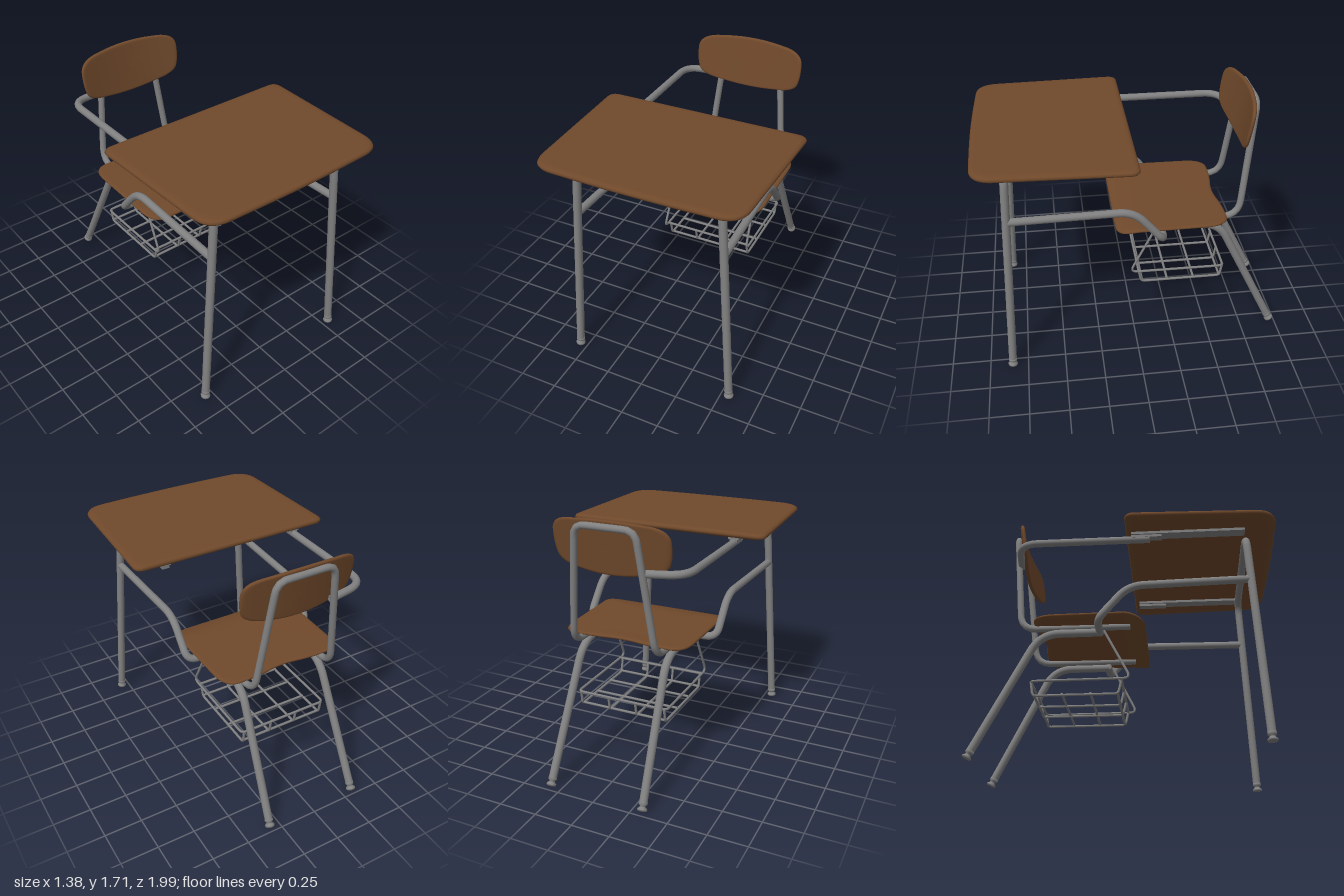
import * as THREE from 'three';
import { mergeGeometries } from 'three/addons/utils/BufferGeometryUtils.js';

const V = (p) => new THREE.Vector3(p[0], p[1], p[2] || 0);

// Polyline with rounded corners; radius comes from the 4th value of a point or the default
function roundedPath(pts, radius = 0, closed = false) {
  const path = new THREE.CurvePath();
  const n = pts.length;
  const corners = pts.map((p, i) => {
    const c = V(p);
    if (!closed && (i === 0 || i === n - 1)) return { a: c, b: c };
    const prev = V(pts[(i + n - 1) % n]), next = V(pts[(i + 1) % n]);
    const r = p[3] ?? radius;
    const cut = (q) => c.clone().lerp(q, Math.min(r / c.distanceTo(q), 0.49));
    return { a: cut(prev), b: cut(next), c };
  });
  for (let i = 0; i < n; i++) {
    const k = corners[i];
    if (k.c) path.add(new THREE.QuadraticBezierCurve3(k.a, k.c, k.b));
    if (i < n - 1 || closed) path.add(new THREE.LineCurve3(k.b, corners[(i + 1) % n].a));
  }
  return path;
}

// Bent tube with closed ends
function tubeGeometry(pts, r, bend, segments, sides) {
  const path = roundedPath(pts, bend);
  const parts = [new THREE.TubeGeometry(path, segments, r, sides, false)];
  for (const [t, dir] of [[0, -1], [1, 1]]) {
    const out = path.getTangentAt(t).multiplyScalar(dir);
    const q = new THREE.Quaternion().setFromUnitVectors(new THREE.Vector3(0, 0, 1), out);
    const end = path.getPointAt(t);
    parts.push(new THREE.CircleGeometry(r, sides).applyQuaternion(q).translate(end.x, end.y, end.z));
  }
  return mergeGeometries(parts);
}

// Thin board with rounded rim from an anticlockwise outline (x, -z), shaped by a rule
function boardGeometry(outline, thickness, shape) {
  const n = 200;
  const pts = roundedPath(outline, 0.1, true).getSpacedPoints(n).slice(0, n);
  const half = [[0, 1], [0.2, 1], [0.4, 1], [0.6, 1], [0.8, 1], [0.92, 1], [0.965, 0.95], [0.99, 0.6]];
  const rings = [...half, [1, 0], ...half.map(([s, h]) => [s, -h]).reverse()];
  const pos = [], index = [];
  rings.forEach(([s, h], i) => {
    pts.forEach((p, j) => {
      pos.push(...shape(p.x * s, h * thickness / 2, -p.y * s));
      if (i === rings.length - 1) return;
      const a = i * n + j, b = i * n + (j + 1) % n;
      index.push(a, a + n, b + n, a, b + n, b);
    });
  });
  const g = new THREE.BufferGeometry();
  g.setAttribute('position', new THREE.Float32BufferAttribute(pos, 3));
  g.setIndex(index);
  g.computeVertexNormals();
  return g;
}

export function createModel() {
  const wood = new THREE.MeshStandardMaterial({ color: 0x70492b });
  wood.name = 'brown wood';
  const metal = new THREE.MeshStandardMaterial({ color: 0x808080 });
  metal.name = 'grey metal';

  const model = new THREE.Group();
  model.name = 'schoolDesk';
  const add = (name, geometry, material, parent = model) => {
    const mesh = new THREE.Mesh(geometry, material);
    mesh.name = name;
    parent.add(mesh);
    return mesh;
  };
  const tube = (name, pts, r = 0.026, bend = 0.1) =>
    add(name, tubeGeometry(pts, r, bend, 90, 14), metal);
  // Continue a half path across the centre plane
  const mirrored = (pts) => [...pts, ...pts.map(([x, ...rest]) => [-x, ...rest]).reverse()];

  // Desk top, narrower and more rounded at the front
  add('deskTop', boardGeometry([
    [0.69, 0.49, 0, 0.06], [-0.69, 0.49, 0, 0.06], [-0.655, -0.478, 0, 0.14],
    [0, -0.498, 0, 0.4], [0.655, -0.478, 0, 0.14],
  ], 0.04, (x, h, z) => [x, 1.48 + h, z + 0.505]), wood);

  // Seat, slightly dished with a front lip rolled down
  add('seat', boardGeometry([
    [0.425, 0.367, 0, 0.15], [0.2, 0.367, 0, 0.1], [0, 0.33, 0, 0.1], [-0.2, 0.367, 0, 0.1],
    [-0.425, 0.367, 0, 0.15], [-0.435, -0.36, 0, 0.14], [0.435, -0.36, 0, 0.14],
  ], 0.022, (x, h, z) => {
    const lip = Math.max(0, (z - 0.22) / 0.14);
    const dish = 0.008 * (1 - (x / 0.435) ** 2) * (1 - (z / 0.37) ** 2);
    return [x, 0.911 + h - dish - 0.037 * lip ** 1.6, z - 0.23];
  }), wood);

  // Backrest, leaning back and wrapped forward at the sides
  add('backrest', boardGeometry([
    [0.38, 0.145, 0, 0.13], [0, 0.178, 0, 0.2], [-0.38, 0.145, 0, 0.13], [-0.388, -0.02, 0, 0.08],
    [-0.35, -0.13, 0, 0.13], [0, -0.18, 0, 0.2], [0.35, -0.13, 0, 0.13], [0.388, -0.02, 0, 0.08],
  ], 0.026, (x, h, z) => {
    const y = 1.53 - z;
    return [x, y, -0.7 - 0.16 * (y - 1.36) + 0.045 * (x / 0.385) ** 2 + h];
  }), wood);

  // Frame running across both sides
  const frontFoot = [0.55, 0.045, 0.85], frontTop = [0.465, 1.42, 0.795];
  tube('frontLegs', mirrored([frontFoot, frontTop]));
  tube('backrestFrame', mirrored([
    [0.28, 0.885, 0.03], [0.28, 0.885, -0.685, 0.11], [0.195, 1.66, -0.768, 0.07],
  ]), 0.022);
  tube('armRail', [[-0.475, 1.42, 0.17], [-0.475, 1.42, -0.69, 0.12], [-0.21, 1.405, -0.725]], 0.024);

  // Flared glide under each leg, lined up with it
  const glideProfile = [[0, -0.048], [0.03, -0.048], [0.031, -0.036], [0.018, -0.024],
    [0.018, -0.016], [0.027, -0.01], [0.027, 0.006], [0, 0.006]].map(([x, y]) => new THREE.Vector2(x, y));
  const glide = new THREE.LatheGeometry(glideProfile, 16);
  const addGlide = (foot, up) => {
    const mesh = add('footGlide', glide, metal);
    mesh.position.copy(V(foot));
    const dir = V(up).sub(V(foot)).normalize();
    mesh.quaternion.setFromUnitVectors(new THREE.Vector3(0, 1, 0), dir);
  };

  for (const s of [1, -1]) {
    const side = s > 0 ? 'left' : 'right';
    const m = ([x, ...rest]) => [s * x, ...rest];
    tube(side + 'SideRail', [
      [0.485, 1.088, 0.8], [0.46, 1.085, 0.03, 0.1], [0.46, 0.852, -0.168, 0.07], [0.27, 0.848, -0.168],
    ].map(m), 0.025);
    const rearFoot = m([0.318, 0.05, -0.945]), rearTop = m([0.29, 0.843, -0.555, 0.13]);
    tube(side + 'RearLeg', [m([0.29, 0.843, -0.16]), rearTop, rearFoot]);
    addGlide(rearFoot, rearTop);
    addGlide(m(frontFoot), m(frontTop));
    // Flat rail and rear bracket under the desk top
    add(side + 'DeskRail', new THREE.BoxGeometry(0.07, 0.02, 0.74).translate(s * 0.475, 1.452, 0.42), metal);
    add(side + 'DeskBracket', new THREE.BoxGeometry(0.05, 0.03, 0.2).translate(s * 0.475, 1.44, 0.15), metal);
  }

  // Wire book basket hung under the seat
  const wires = [];
  const wire = (pts, bend = 0.02, segments = 40) =>
    wires.push(tubeGeometry(pts, 0.0085, bend, segments, 8));
  wire(mirrored([[0.3, 0.85, -0.14], [0.312, 0.508, 0.035, 0.05], [0.312, 0.505, -0.6, 0.03]]), 0.03, 140);
  wire([[-0.312, 0.505, -0.025], [0.312, 0.505, -0.025]], 0, 4);
  for (const x of [-0.295, -0.095, 0.095, 0.295]) {
    wire([[x, 0.505, -0.025], [x, 0.412, -0.045], [x, 0.412, -0.585], [x, 0.505, -0.6]]);
  }
  for (const z of [-0.05, -0.22, -0.4, -0.58]) {
    wire([[-0.295, 0.42, z], [0.295, 0.42, z]], 0, 4);
  }
  add('bookBasket', mergeGeometries(wires), metal);

  return model;
}
